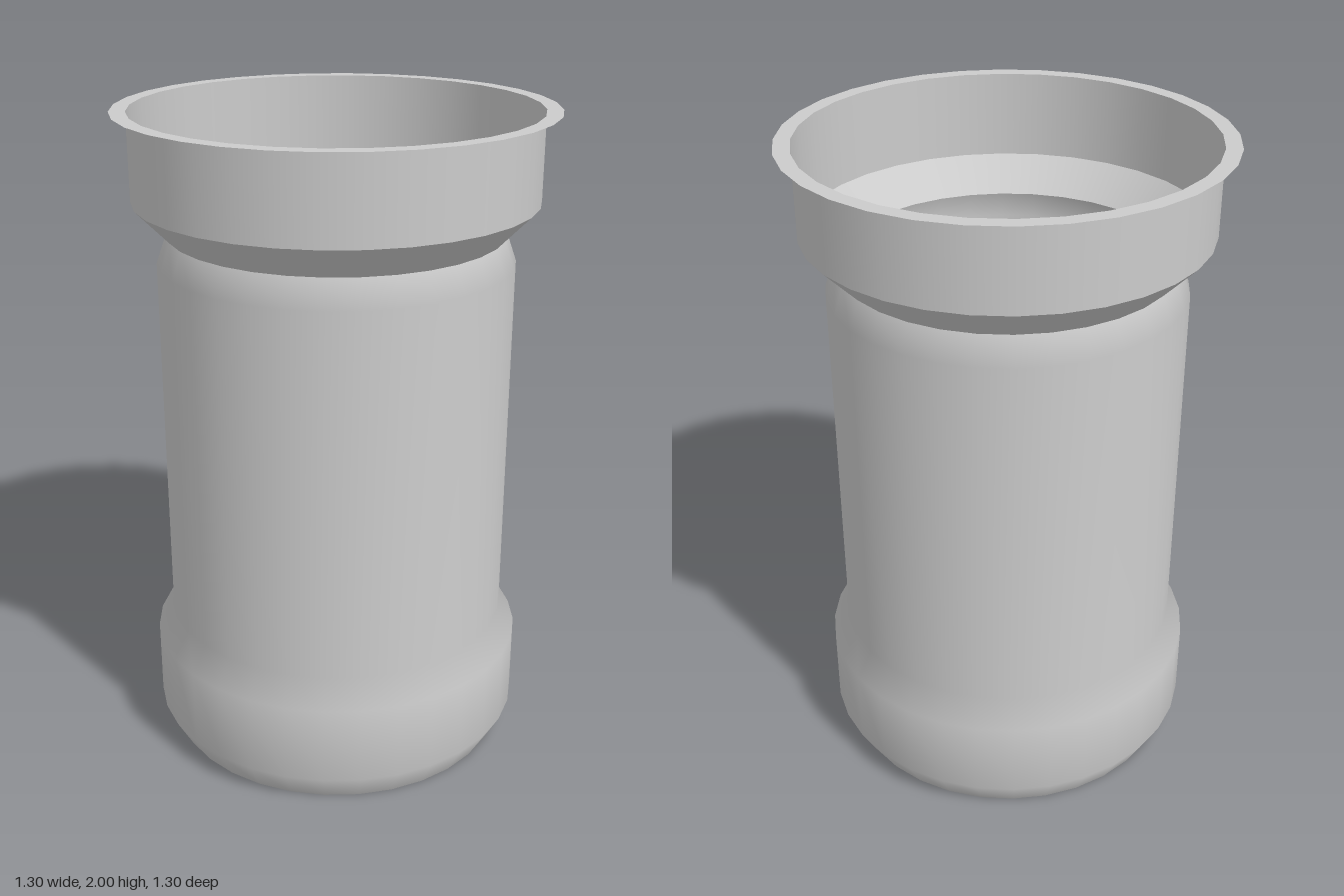
import * as THREE from 'three';

const SIDES = 32;

export function createModel() {
  const group = new THREE.Group();
  group.name = 'flangedContainer';
  const material = new THREE.MeshStandardMaterial({ color: 0xcccccc, side: THREE.DoubleSide });

  // Each thin-walled section is turned on its own, so seams between them stay sharp
  const turn = (name, profile) => {
    const points = profile.map(([r, y]) => new THREE.Vector2(r, y));
    const mesh = new THREE.Mesh(new THREE.LatheGeometry(points, SIDES), material);
    mesh.name = name;
    group.add(mesh);
  };

  // Closed bottom
  const floor = new THREE.Mesh(new THREE.CircleGeometry(0.535, SIDES), material);
  floor.geometry.rotateX(Math.PI / 2);
  floor.name = 'floor';
  group.add(floor);

  // Bulged foot, straight wall and slightly tapered neck
  turn('body', [
    [0.535, 0], [0.585, 0.09], [0.585, 0.335], [0.535, 0.42],
    [0.535, 1.555], [0.505, 1.64],
  ]);

  // Flared shoulder, upright collar and flat lip around the open mouth
  turn('shoulder', [[0.505, 1.64], [0.602, 1.74]]);
  turn('collar', [[0.602, 1.74], [0.602, 2]]);
  turn('lip', [[0.65, 2], [0.602, 2]]);

  return group;
}
